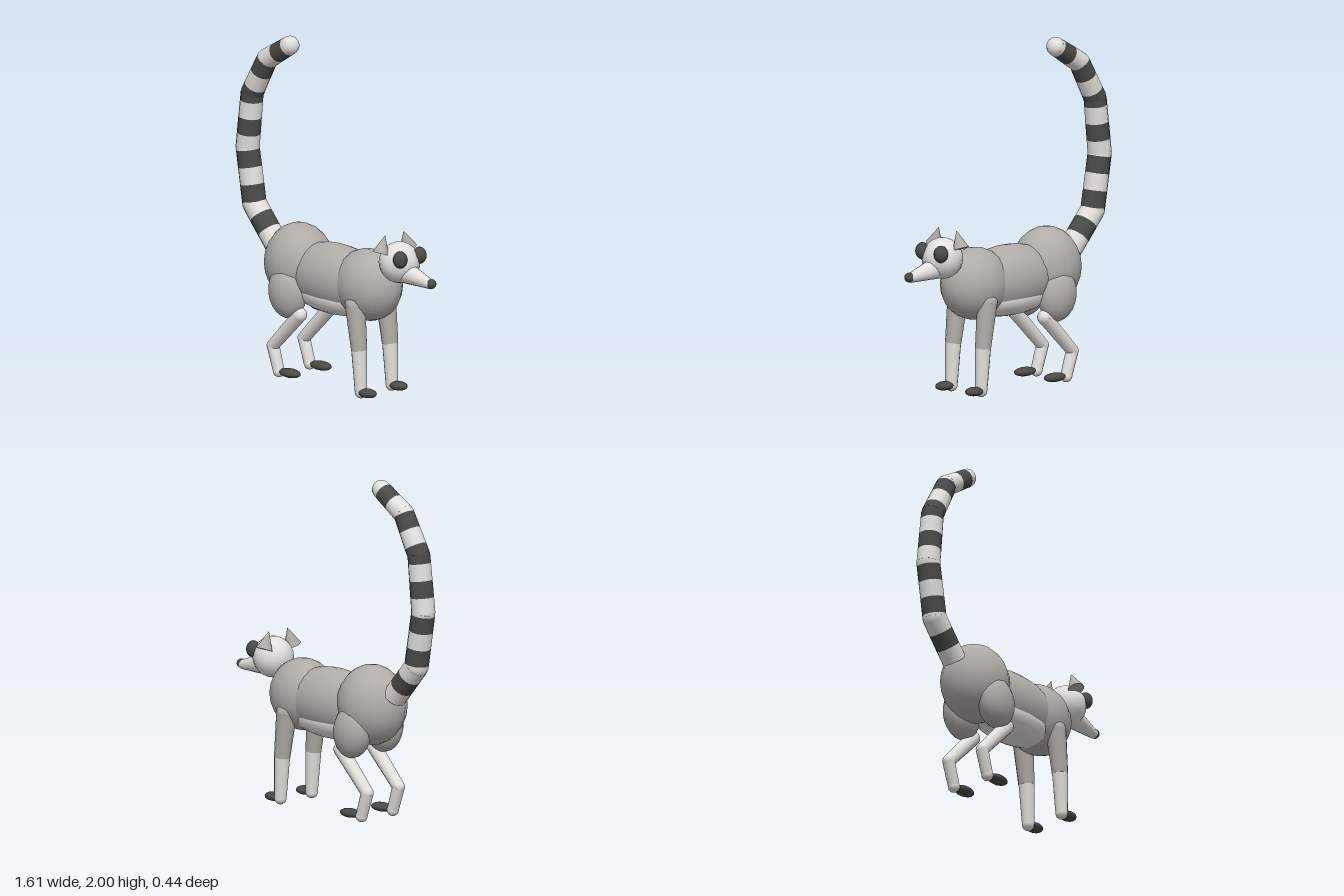
import * as THREE from 'three';

const mat = (name, color) => {
  const m = new THREE.MeshStandardMaterial({ color });
  m.name = name;
  return m;
};

export function createModel() {
  const fur = mat('greyFur', 0xb0ada8);
  const pale = mat('paleFur', 0xe2e0dc);
  const dark = mat('darkFur', 0x4a4b48);
  const model = new THREE.Group();
  model.name = 'ringTailedAnimal';

  const add = (parent, name, geo, material) => {
    const mesh = new THREE.Mesh(geo, material);
    mesh.name = name;
    parent.add(mesh);
    return mesh;
  };

  // Ellipsoid from centre and three radii
  const blob = (parent, name, material, [x, y, z], [rx, ry, rz], tilt = 0) => {
    const mesh = add(parent, name, new THREE.SphereGeometry(1, 16, 12), material);
    mesh.position.set(x, y, z);
    mesh.scale.set(rx, ry, rz);
    mesh.rotation.z = tilt;
    return mesh;
  };

  // Tapered rod from point a to point b
  const rod = (parent, name, material, a, b, ra, rb) => {
    const from = new THREE.Vector3(...a), to = new THREE.Vector3(...b);
    const dir = to.clone().sub(from);
    const mesh = add(parent, name, new THREE.CylinderGeometry(rb, ra, dir.length(), 14), material);
    mesh.position.copy(from).addScaledVector(dir, 0.5);
    mesh.quaternion.setFromUnitVectors(new THREE.Vector3(0, 1, 0), dir.normalize());
    return mesh;
  };
  const ball = (parent, name, material, p, r) => blob(parent, name, material, p, [r, r, r]);

  // Body
  blob(model, 'hips', fur, [-0.31, 0.67, 0], [0.215, 0.235, 0.195]);
  blob(model, 'torso', fur, [0, 0.637, 0], [0.39, 0.2, 0.175]);
  blob(model, 'belly', pale, [0, 0.54, 0], [0.33, 0.115, 0.155]);
  blob(model, 'chest', fur, [0.26, 0.645, 0], [0.22, 0.21, 0.177]);

  // Head and snout
  const head = new THREE.Group();
  head.name = 'head';
  model.add(head);
  ball(head, 'skull', pale, [0.515, 0.825, 0], 0.12);
  rod(head, 'snout', pale, [0.56, 0.775, 0], [0.775, 0.74, 0], 0.065, 0.027);
  ball(head, 'nose', dark, [0.779, 0.745, 0], 0.028);

  for (const s of [1, -1]) {
    const side = s > 0 ? 'near' : 'far';

    blob(head, side + 'Eye', dark, [0.6, 0.868, s * 0.077], [0.041, 0.05, 0.042]);

    // Ear: cone leaning inward
    const ear = add(head, side + 'Ear', new THREE.ConeGeometry(0.05, 0.11, 12), fur);
    ear.position.set(0.473, 0.94, s * 0.092);
    ear.rotation.x = -s * 0.35;

    // Front leg
    const z = s * 0.124;
    const front = new THREE.Group();
    front.name = side + 'FrontLeg';
    model.add(front);
    const shoulder = [0.275, 0.55, s * 0.122], elbow = [0.31, 0.285, z], wrist = [0.325, 0.04, z];
    ball(front, 'shoulder', fur, shoulder, 0.06);
    rod(front, 'upperLeg', fur, shoulder, elbow, 0.06, 0.047);
    ball(front, 'elbow', pale, elbow, 0.046);
    rod(front, 'lowerLeg', pale, elbow, wrist, 0.046, 0.036);
    ball(front, 'wrist', pale, wrist, 0.036);
    blob(front, 'frontFoot', dark, [0.38, 0.043, z], [0.06, 0.026, 0.045]);

    // Hind leg
    const hind = new THREE.Group();
    hind.name = side + 'HindLeg';
    model.add(hind);
    const knee = [-0.18, 0.405, z], hock = [-0.4, 0.182, z], heel = [-0.352, 0.038, z];
    blob(hind, 'thigh', fur, [-0.278, 0.525, s * 0.127], [0.127, 0.157, 0.095], 0.15);
    ball(hind, 'knee', pale, knee, 0.043);
    rod(hind, 'shin', pale, knee, hock, 0.043, 0.037);
    ball(hind, 'hock', pale, hock, 0.037);
    rod(hind, 'ankle', pale, hock, heel, 0.037, 0.034);
    ball(hind, 'heel', pale, heel, 0.035);
    blob(hind, 'hindFoot', dark, [-0.26, 0.043, z], [0.076, 0.026, 0.045]);
  }

  // Tail: straight runs between bends, cut into alternating bands
  const tail = new THREE.Group();
  tail.name = 'tail';
  model.add(tail);
  const bends = [[-0.5, 0.745], [-0.68, 0.95], [-0.737, 1.277], [-0.7, 1.605], [-0.575, 1.83], [-0.388, 1.945]]
    .map(([x, y]) => new THREE.Vector3(x, y, 0));
  const starts = [0];
  for (let i = 1; i < bends.length; i++) starts.push(starts[i - 1] + bends[i].distanceTo(bends[i - 1]));
  const total = starts[starts.length - 1];
  const pointAt = (s) => {
    let i = 0;
    while (i < bends.length - 2 && s > starts[i + 1]) i++;
    return bends[i].clone().lerp(bends[i + 1], (s - starts[i]) / (starts[i + 1] - starts[i])).toArray();
  };
  const radiusAt = (s) => 0.071 - 0.016 * Math.pow(s / total, 3);
  const bandMat = (s) => (Math.floor((s + 0.01) / 0.1) % 2 ? dark : pale);
  const cuts = [...starts];
  for (let s = 0.09; s < total; s += 0.1) cuts.push(s);
  cuts.sort((a, b) => a - b);
  for (let i = 0; i < cuts.length - 1; i++) {
    const a = cuts[i], b = cuts[i + 1];
    if (b - a < 0.002) continue;
    rod(tail, 'tailBand', bandMat((a + b) / 2), pointAt(a), pointAt(b), radiusAt(a), radiusAt(b));
  }
  // Fill the bends and round the tip
  for (let i = 1; i < bends.length - 1; i++) {
    ball(tail, 'tailJoint', bandMat(starts[i]), bends[i].toArray(), radiusAt(starts[i]) * 0.99);
  }
  ball(tail, 'tailTip', pale, bends[bends.length - 1].toArray(), 0.055);

  return model;
}
